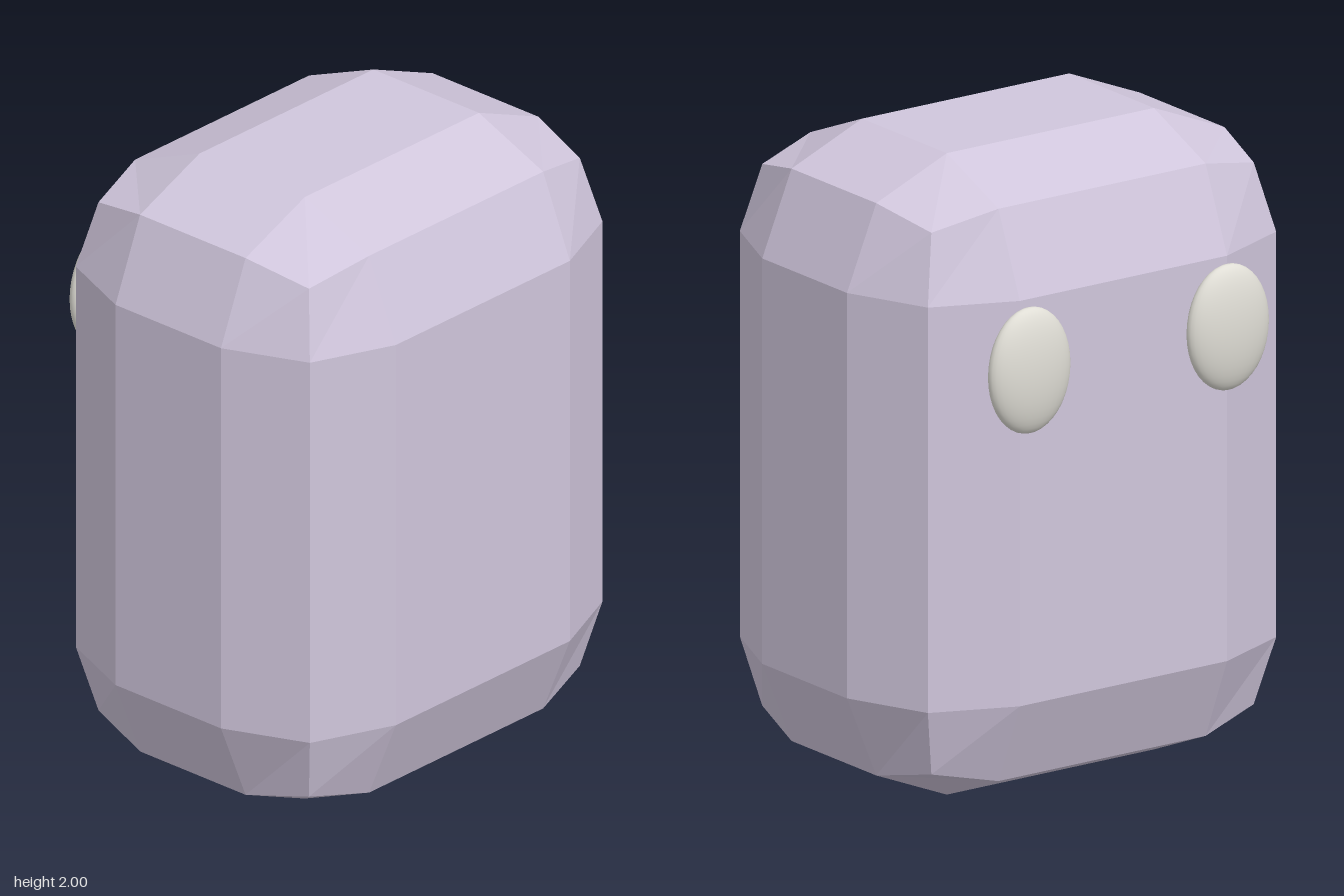
import * as THREE from 'three';
import { RoundedBoxGeometry } from 'three/addons/geometries/RoundedBoxGeometry.js';

export function createModel() {
  const model = new THREE.Group();
  model.name = 'model';

  const lilac = new THREE.MeshStandardMaterial({ color: 0xd0c6dc });
  lilac.name = 'pale lilac';
  lilac.flatShading = true;
  const ivory = new THREE.MeshStandardMaterial({ color: 0xe0ded6 });
  ivory.name = 'ivory';

  // Low-poly body: a block with two facets around every edge
  const body = new THREE.Mesh(new RoundedBoxGeometry(1.5, 2, 1.163, 1, 0.368), lilac);
  body.name = 'body';
  body.position.set(0, 1, 0.041);
  model.add(body);

  // Smooth oval eyes, half sunk into the rear face
  const eyeGeometry = new THREE.SphereGeometry(1, 32, 20);
  for (const side of [1, -1]) {
    const eye = new THREE.Mesh(eyeGeometry, ivory);
    eye.name = side > 0 ? 'leftEye' : 'rightEye';
    eye.scale.set(0.147, 0.196, 0.056);
    eye.position.set(side * 0.366, 1.42, -0.566);
    model.add(eye);
  }

  return model;
}
